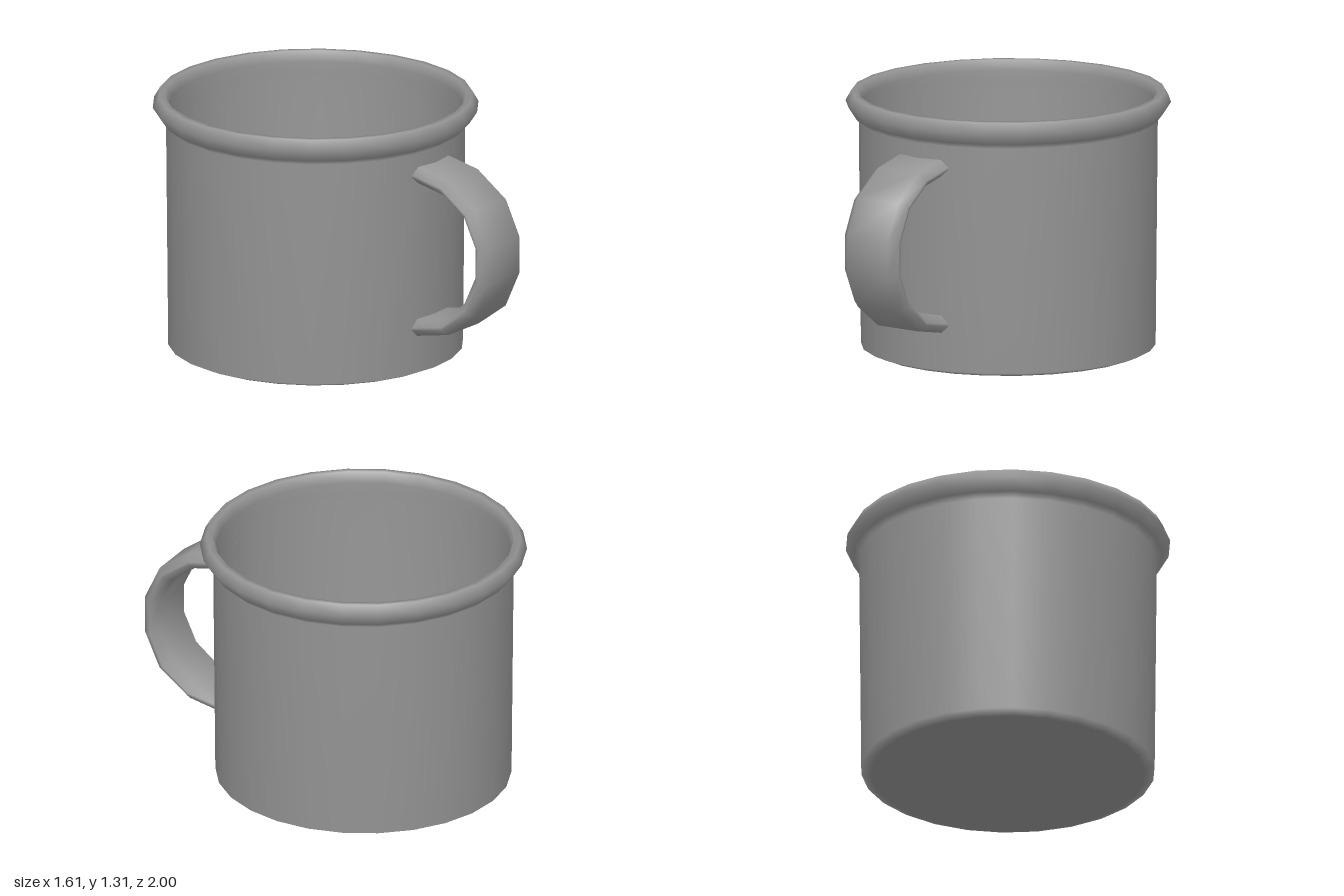
import * as THREE from 'three';
import { toCreasedNormals } from 'three/addons/utils/BufferGeometryUtils.js';

const SIDES = 26;
const CENTRE_Z = -0.18;
const material = new THREE.MeshStandardMaterial({ color: 0x959595 });

function addMesh(group, name, geometry) {
  const mesh = new THREE.Mesh(geometry, material);
  mesh.name = name;
  group.add(mesh);
}

// Smooth round part from [radius, y] pairs, slightly narrower in x
function turned(profile) {
  const points = profile.map(([r, y]) => new THREE.Vector2(r, y));
  return new THREE.LatheGeometry(points, SIDES).scale(0.989, 1, 1).translate(0, 0, CENTRE_Z);
}

// Strap swept through pairs of outer and inner [z, y] points
function strap(stations, section) {
  const n = section.length;
  const positions = [];
  const index = [];
  for (const [outer, inner] of stations) {
    for (const [x, t] of section) {
      positions.push(x,
        THREE.MathUtils.lerp(inner[1], outer[1], t),
        THREE.MathUtils.lerp(inner[0], outer[0], t));
    }
  }
  for (let i = 0; i < stations.length - 1; i++) {
    for (let j = 0; j < n; j++) {
      const a = i * n + j;
      const b = i * n + (j + 1) % n;
      index.push(a, a + n, b, b, a + n, b + n);
    }
  }
  // End caps
  const last = (stations.length - 1) * n;
  for (let k = 1; k < n - 1; k++) {
    index.push(0, k, k + 1, last, last + k + 1, last + k);
  }
  const geometry = new THREE.BufferGeometry();
  geometry.setAttribute('position', new THREE.Float32BufferAttribute(positions, 3));
  geometry.setIndex(index);
  return toCreasedNormals(geometry, 1.0);
}

export function createModel() {
  const group = new THREE.Group();
  group.name = 'mug';

  // One smooth shell: underside, outer wall, rolled rim, inner wall, floor
  addMesh(group, 'cup', turned([
    [0, 0], [0.69, 0], [0.742, 0.022],
    [0.753, 1.172], [0.78, 1.198], [0.82, 1.26], [0.79, 1.312],
    [0.758, 1.312], [0.735, 1.26], [0.752, 1.19],
    [0.735, 1.165], [0.728, 0.045], [0.68, 0.022], [0, 0.022],
  ]));

  // Handle: wide strap with chamfered edges
  const stations = [
    [[0.55, 1.1], [0.55, 1.015]],
    [[0.74, 1.06], [0.715, 0.98]],
    [[0.915, 0.935], [0.845, 0.885]],
    [[1.0, 0.755], [0.915, 0.738]],
    [[1.0, 0.565], [0.915, 0.585]],
    [[0.915, 0.38], [0.845, 0.435]],
    [[0.745, 0.255], [0.72, 0.335]],
    [[0.55, 0.215], [0.55, 0.302]],
  ];
  const section = [
    [-0.125, 1], [0.125, 1], [0.168, 0.58], [0.168, 0.42],
    [0.125, 0], [-0.125, 0], [-0.168, 0.42], [-0.168, 0.58],
  ];
  addMesh(group, 'handle', strap(stations, section));

  return group;
}
